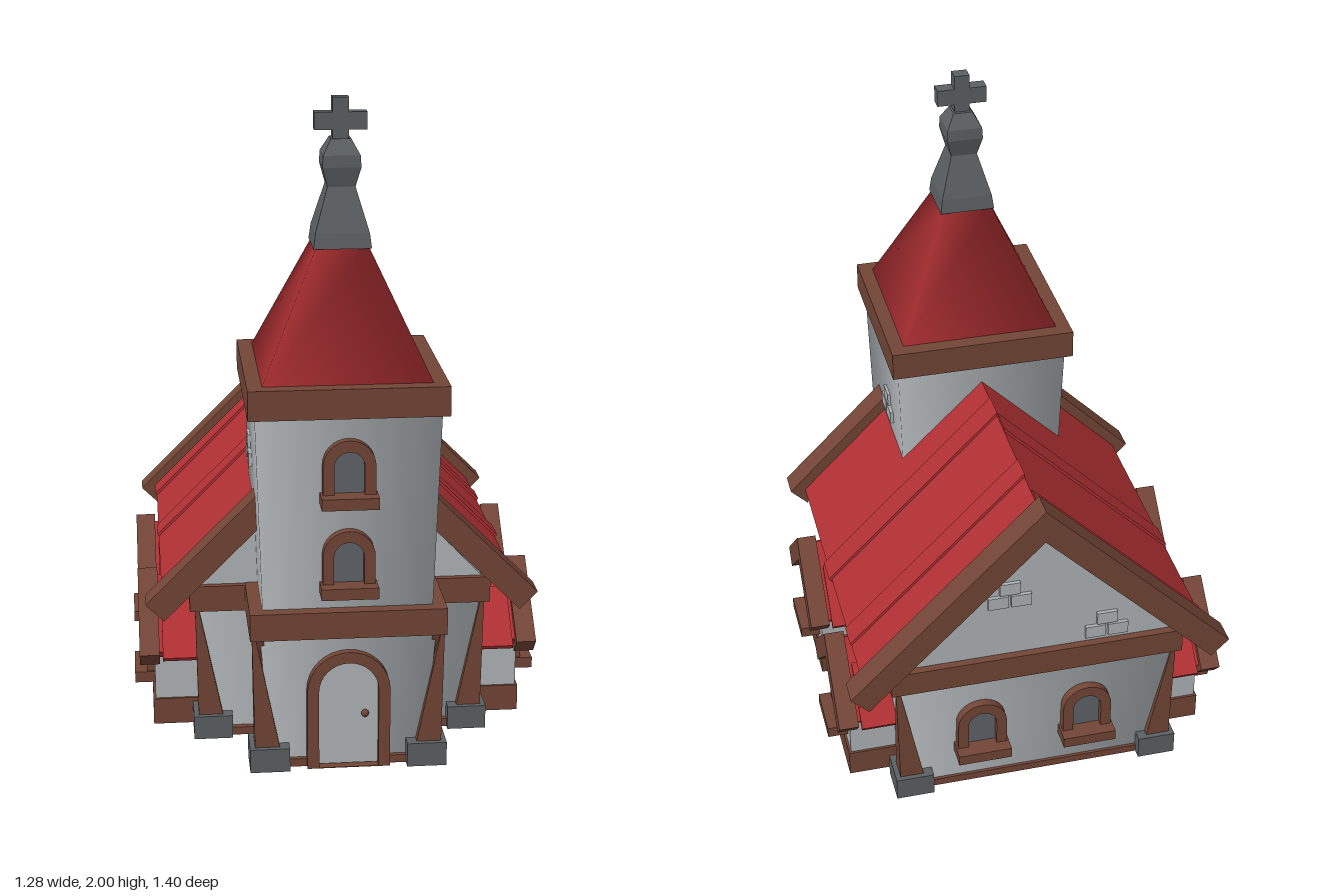
import * as THREE from 'three';

const mat = (name, color) => {
  const m = new THREE.MeshStandardMaterial({ color });
  m.name = name;
  return m;
};

export function createModel() {
  const wall = mat('plaster', 0xb0b5b8);
  const wood = mat('wood', 0x734536);
  const red = mat('roof red', 0xb03033);
  const stone = mat('stone', 0x5b6063);
  const glass = mat('window grey', 0x5f656a);

  const root = new THREE.Group();
  root.name = 'chapel';

  const add = (name, geo, m, parent = root) => {
    const mesh = new THREE.Mesh(geo, m);
    mesh.name = name;
    parent.add(mesh);
    return mesh;
  };
  // Box given by its limits
  const box = (name, m, x0, x1, y0, y1, z0, z1, parent = root) => {
    const b = add(name, new THREE.BoxGeometry(x1 - x0, y1 - y0, z1 - z0), m, parent);
    b.position.set((x0 + x1) / 2, (y0 + y1) / 2, (z0 + z1) / 2);
    return b;
  };
  // Four-sided tapered block: bottom and top given as [x0, x1, z0, z1]
  const frustum = (name, m, y0, y1, bot, top, flat = false, parent = root) => {
    let g = new THREE.CylinderGeometry(Math.SQRT2, Math.SQRT2, 1, 4, 1, false, Math.PI / 4);
    const p = g.attributes.position;
    for (let i = 0; i < p.count; i++) {
      const r = p.getY(i) > 0 ? top : bot;
      const fx = (p.getX(i) + 1) / 2, fz = (p.getZ(i) + 1) / 2;
      p.setXYZ(i, r[0] + (r[1] - r[0]) * fx, p.getY(i) > 0 ? y1 : y0, r[2] + (r[3] - r[2]) * fz);
    }
    if (flat) {
      g = g.toNonIndexed();
      g.computeVertexNormals();
    }
    return add(name, g, m, parent);
  };
  const extrude = (name, m, shape, z0, z1, parent = root) => {
    const e = add(name, new THREE.ExtrudeGeometry(shape, { depth: z1 - z0, bevelEnabled: false, curveSegments: 8 }), m, parent);
    e.position.z = z0;
    return e;
  };
  const poly = pts => new THREE.Shape(pts.map(p => new THREE.Vector2(p[0], p[1])));
  // Inverted V with 45 degree style slopes: apex height, half width, drop, thickness along the slope end
  const chevron = (apex, half, drop, t) => {
    const s = drop / half;
    return poly([[0, apex], [-half, apex - drop], [-half + t, apex - drop - t / s], [0, apex - t * (s + 1 / s)],
      [half - t, apex - drop - t / s], [half, apex - drop]]);
  };
  const arch = (w, h, y0 = 0) => {
    const s = new THREE.Shape();
    s.moveTo(-w, y0);
    s.lineTo(w, y0);
    s.lineTo(w, h - w);
    s.absarc(0, h - w, w, 0, Math.PI, false);
    s.lineTo(-w, y0);
    return s;
  };

  // Arched window facing +z, wall surface at z = 0
  const addWindow = (name, x, y, z, turn, parent = root) => {
    const g = new THREE.Group();
    g.name = name;
    const frame = arch(0.078, 0.2);
    frame.holes.push(arch(0.045, 0.165, 0.035));
    extrude('windowFrame', wood, frame, -0.03, 0.03, g);
    extrude('windowPane', glass, arch(0.05, 0.17, 0.03), 0, 0.008, g);
    box('windowSill', wood, -0.085, 0.085, 0, 0.035, -0.02, 0.068, g);
    g.position.set(x, y, z);
    g.rotation.y = turn;
    parent.add(g);
  };
  // Small cluster of raised blocks facing +z
  const addBricks = (x, y, z, turn) => {
    const g = new THREE.Group();
    g.name = 'exposedBricks';
    [[-0.036, 0], [0.036, 0], [0, 0.048]].forEach(([bx, by]) =>
      box('brick', wall, bx - 0.032, bx + 0.032, by, by + 0.042, -0.02, 0.012, g));
    g.position.set(x, y, z);
    g.rotation.y = turn;
    root.add(g);
  };

  // Floor and walls
  box('naveFloor', wood, -0.43, 0.43, 0.005, 0.03, -0.62, 0.39);
  box('towerFloor', wood, -0.24, 0.24, 0.005, 0.03, 0.38, 0.63);
  frustum('naveWalls', wall, 0.02, 0.45, [-0.42, 0.42, -0.61, 0.37], [-0.45, 0.45, -0.63, 0.385]);
  frustum('towerLowerWalls', wall, 0.02, 0.45, [-0.235, 0.235, 0.1, 0.615], [-0.265, 0.265, 0.1, 0.64]);
  frustum('towerUpperWalls', wall, 0.5, 1.13, [-0.255, 0.255, 0.11, 0.62], [-0.275, 0.275, 0.09, 0.635]);
  extrude('gableWalls', wall, poly([[-0.47, 0.48], [0.47, 0.48], [0, 0.975]]), -0.625, 0.39);

  // Beams around the walls
  box('naveBeam', wood, -0.465, 0.465, 0.43, 0.512, -0.65, 0.41);
  box('towerBeam', wood, -0.295, 0.295, 0.43, 0.514, 0.3, 0.66);
  box('towerTopBeam', wood, -0.295, 0.295, 1.11, 1.2, 0.065, 0.658);

  // Main roof with raised panels
  extrude('naveRoof', red, chevron(1.04, 0.55, 0.55, 0.03), -0.63, 0.41);
  const panel = (side, z0, z1, len) => {
    const t = 0.012;
    const pts = [[0, 1.04], [0, 1.04 + t], [len, 1.04 + t - len], [len - 0.035, 1.005 - len]];
    if (side < 0) pts.forEach(p => { p[0] *= -1; });
    extrude('roofPanel', red, poly(pts), z0, z1);
  };
  panel(1, -0.11, -0.02, 0.56);
  panel(1, -0.45, -0.37, 0.555);
  panel(-1, -0.2, -0.11, 0.555);
  panel(-1, -0.62, -0.53, 0.555);
  const board = chevron(1.088, 0.6, 0.6, 0.055);
  extrude('frontGableBoards', wood, board, 0.4, 0.485);
  extrude('backGableBoards', wood, board, -0.7, -0.617);

  // Tower roof and spire
  const sq = r => [-r, r, 0.362 - r, 0.362 + r];
  frustum('towerRoof', red, 1.19, 1.575, sq(0.255), sq(0.075));
  frustum('spireFoot', stone, 1.565, 1.61, sq(0.086), sq(0.08), true);
  frustum('spireShaft', stone, 1.61, 1.78, sq(0.08), sq(0.03), true);
  frustum('spireBulb', stone, 1.66, 1.8, sq(0.02), sq(0.057), true);
  frustum('spireBulbMiddle', stone, 1.8, 1.835, sq(0.057), sq(0.055), true);
  frustum('spireCap', stone, 1.835, 1.88, sq(0.055), sq(0.03), true);
  box('crossPost', stone, -0.024, 0.024, 1.86, 2, 0.342, 0.385);
  box('crossArm', stone, -0.078, 0.078, 1.905, 1.957, 0.342, 0.385);

  // Corner stones and wedge posts
  for (const s of [-1, 1]) {
    for (const [x, z] of [[0.398, 0.352], [0.398, -0.59], [0.238, 0.602]]) {
      box('cornerStone', stone, s * x - 0.06, s * x + 0.06, 0.005, 0.08, z - 0.06, z + 0.06);
      const dz = z < 0 ? -1 : 1;
      const cx = s * (x + 0.004), cz = z + dz * 0.004;
      const ax = s * (x + 0.045), az = z + dz * 0.038;
      frustum('cornerPost', wood, 0.05, 0.43, [cx - 0.04, cx + 0.04, cz - 0.04, cz + 0.04],
        [ax - 0.006, ax + 0.006, az - 0.006, az + 0.006], true);
    }
    // Slanted brace on the tower side
    frustum('towerBrace', wood, 0.02, 0.43, [s * 0.24 - 0.012, s * 0.24 + 0.012, 0.44, 0.51],
      [s * 0.265 - 0.012, s * 0.265 + 0.012, 0.6, 0.645], true);
  }

  // Door
  const doorFrame = arch(0.125, 0.385, 0.01);
  doorFrame.holes.push(arch(0.09, 0.35, 0.012));
  extrude('doorFrame', wood, doorFrame, 0.59, 0.66);
  extrude('door', wall, arch(0.095, 0.355, 0.015), 0.625, 0.638);
  const knob = add('doorKnob', new THREE.SphereGeometry(0.012, 8, 6), wood);
  knob.position.set(0.05, 0.18, 0.645);

  // Windows on the tower and the back wall
  addWindow('upperTowerWindow', 0, 0.845, 0.63, 0);
  addWindow('lowerTowerWindow', 0, 0.565, 0.625, 0);
  for (const x of [-0.16, 0.18]) addWindow('backWindow', x, 0.14, -0.622, Math.PI);

  // Side bays, each built facing +z and turned outward
  for (const s of [-1, 1]) {
    for (const z of [0.147, -0.362]) {
      const bay = new THREE.Group();
      bay.name = 'sideBay';
      box('bayBase', wood, -0.14, 0.14, 0.005, 0.09, 0.3, 0.582, bay);
      extrude('bayWalls', wall, poly([[-0.132, 0.08], [0.132, 0.08], [0.132, 0.29], [0, 0.41], [-0.132, 0.29]]), 0.3, 0.575, bay);
      extrude('bayRoof', red, chevron(0.455, 0.2, 0.18, 0.025), 0.3, 0.572, bay);
      for (const e of [-1, 1]) {
        const p = [[0.07, 0.38], [0.215, 0.25], [0.222, 0.262], [0.07, 0.405]].map(q => [q[0] * e, q[1]]);
        extrude('bayRoofPanel', red, poly(p), 0.42, 0.55, bay);
      }
      extrude('bayGableBoards', wood, chevron(0.48, 0.225, 0.205, 0.045), 0.56, 0.622, bay);
      addWindow('bayWindow', 0, 0.125, 0.57, 0, bay);
      bay.position.z = z;
      bay.rotation.y = s * Math.PI / 2;
      root.add(bay);
    }
  }

  // Exposed bricks
  addBricks(0.265, 0.83, 0.3, Math.PI / 2);
  addBricks(-0.266, 0.88, 0.3, -Math.PI / 2);
  addBricks(0.09, 0.7, -0.625, Math.PI);
  addBricks(-0.22, 0.53, -0.625, Math.PI);

  return root;
}
